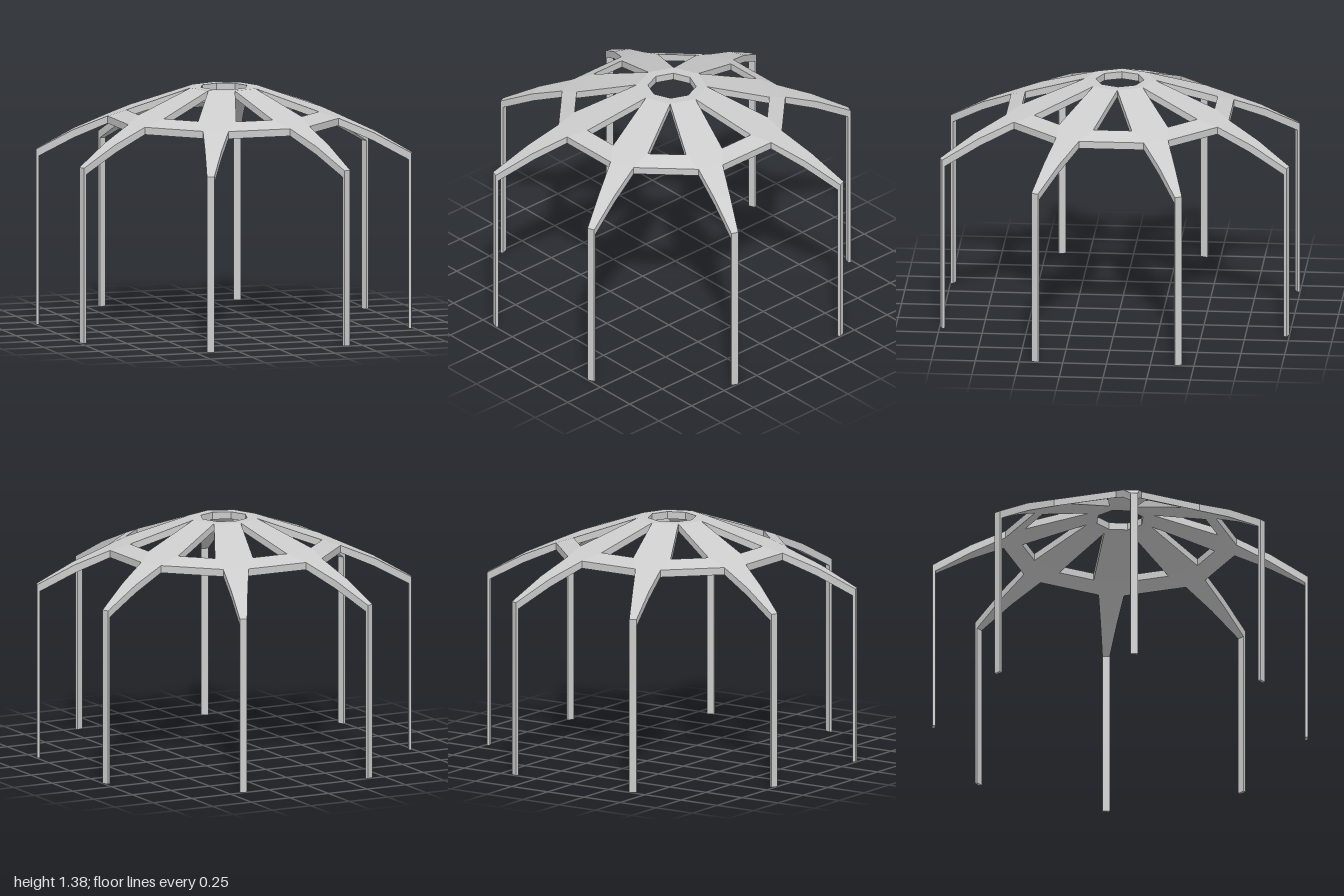
import * as THREE from 'three';

const COUNT = 8;
const STEP = (Math.PI * 2) / COUNT;
const THICK = 0.042;

// Point at radius r, height y, tangential offset s, turned by angle a
const at = (r, y, s, a = 0) => new THREE.Vector3(
  r * Math.cos(a) - s * Math.sin(a), y, r * Math.sin(a) + s * Math.cos(a));

// Skin four-cornered sections; keep(i, k) says whether face k of span i is built
function skin(sections, keep = () => true, capEnd = false) {
  const pos = [];
  const quad = (a, b, c, d) => [a, b, c, a, c, d].forEach(p => pos.push(p.x, p.y, p.z));
  for (let i = 0; i < sections.length - 1; i++) {
    const A = sections[i], B = sections[i + 1];
    for (let k = 0; k < 4; k++) {
      const n = (k + 1) % 4;
      if (keep(i, k)) quad(A[k], A[n], B[n], B[k]);
    }
  }
  if (capEnd) quad(...sections[sections.length - 1]);
  const geometry = new THREE.BufferGeometry();
  geometry.setAttribute('position', new THREE.Float32BufferAttribute(pos, 3));
  geometry.computeVertexNormals();
  return geometry;
}

export function createModel() {
  const group = new THREE.Group();
  const material = new THREE.MeshStandardMaterial({ color: 0xcccccc, flatShading: true });
  const add = (name, geometry, angle = 0) => {
    const mesh = new THREE.Mesh(geometry, material);
    mesh.name = name;
    mesh.rotation.y = -angle;
    group.add(mesh);
  };

  const crownR = 0.2, holeR = 0.138, crownY = 1.38;
  const half = STEP / 2;

  // Rib and leg in one sweep: outer r, outer y, inner r, inner y, half width
  const ribProfile = [
    [crownR * Math.cos(half), crownY, crownR * Math.cos(half), crownY - THICK, crownR * Math.sin(half)],
    [0.55, 1.255, 0.55, 1.255 - THICK, 0.109],
    [0.66, 1.213, 0.66, 1.213 - THICK, 0.073],
    [0.86, 1.128, 0.855, 1.128 - 0.045, 0.047],
    [1.074, 1.01, 1.057, 0.972, 0.021],
    [1.074, 0, 1.057, 0, 0.021],
  ];
  const ribSections = ribProfile.map(([ro, yo, ri, yi, w]) =>
    [at(ro, yo, -w), at(ro, yo, w), at(ri, yi, w), at(ri, yi, -w)]);
  // The sides of span 1 stay open where the ring beams join
  const ribGeometry = skin(ribSections, (i, k) => !(i === 1 && k % 2 === 1), true);

  // Ring beam from the +s side of one rib to the -s side of the next
  const [, inner, outer] = ribProfile;
  const beamEnd = (side, angle) => [
    at(outer[0], outer[1], side * outer[4], angle),
    at(inner[0], inner[1], side * inner[4], angle),
    at(inner[2], inner[3], side * inner[4], angle),
    at(outer[2], outer[3], side * outer[4], angle),
  ];
  const beamGeometry = skin([beamEnd(1, -half), beamEnd(-1, half)]);

  for (let i = 0; i < COUNT; i++) {
    add('ribAndLeg', ribGeometry, (i + 0.5) * STEP);
    add('ringBeam', beamGeometry, i * STEP);
  }

  // Flat octagonal crown with a central opening; its outer edge joins the ribs
  const crownSections = [];
  for (let i = 0; i <= COUNT; i++) {
    const a = i * STEP;
    crownSections.push([
      at(crownR, crownY, 0, a), at(holeR, crownY, 0, a),
      at(holeR, crownY - THICK, 0, a), at(crownR, crownY - THICK, 0, a),
    ]);
  }
  add('crown', skin(crownSections, (i, k) => k !== 3));

  return group;
}
